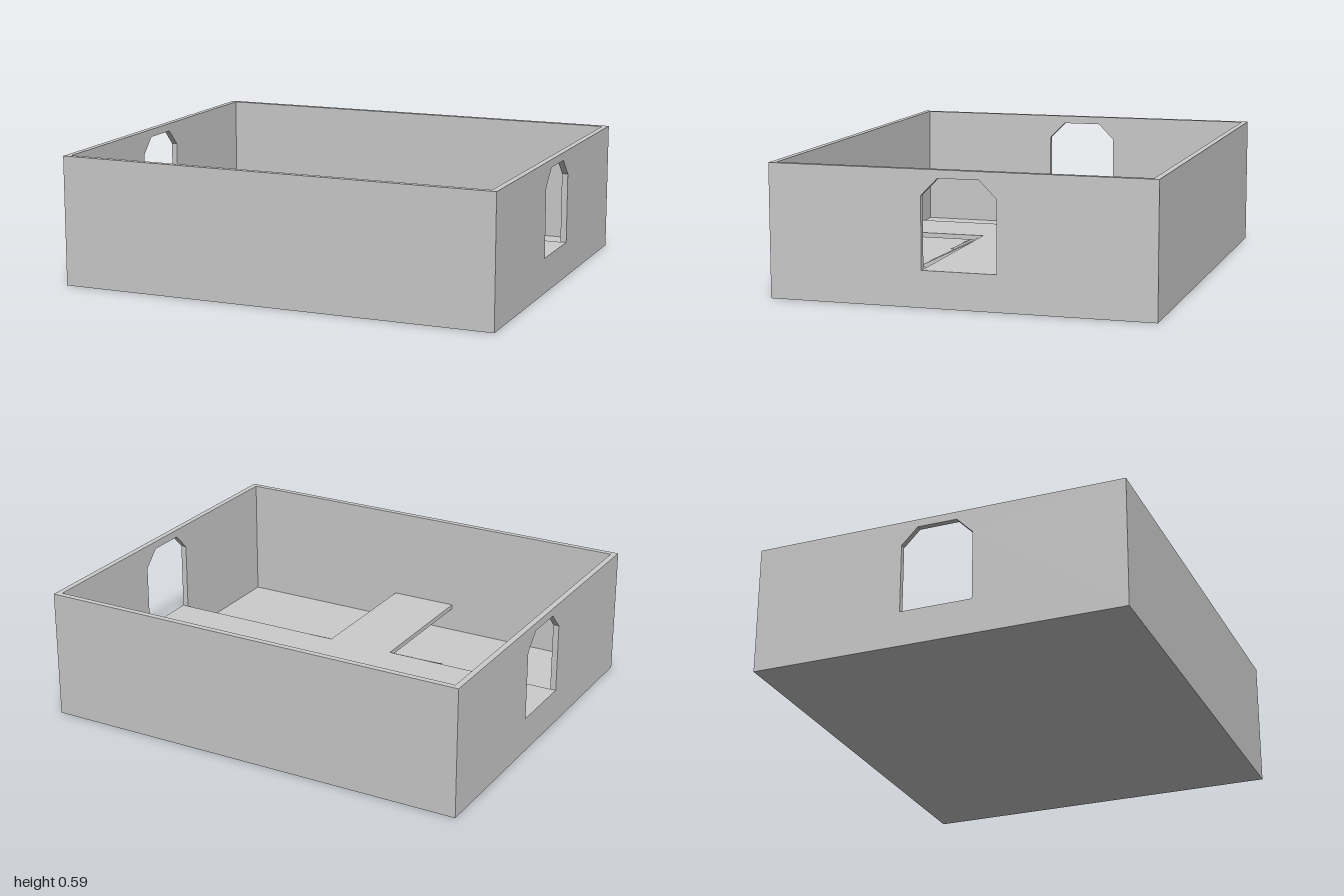
import * as THREE from 'three';

const W = 2, D = 1.69, H = 0.586;   // outer size
const T = 0.027;                    // wall and floor thickness
const DECK = 0.16, SLAB = 0.022;    // walkway height and thickness
const AX = 0.158, AZ = 0.164;       // half widths of the walkway arms
const RAMP_X = 0.3, RAMP_Z = 0.43;  // outer reach of the ramps

const material = new THREE.MeshStandardMaterial({ color: 0xcccccc, flatShading: true });

function add(group, name, geometry, x = 0, y = 0, z = 0) {
  const mesh = new THREE.Mesh(geometry, material);
  mesh.name = name;
  mesh.position.set(x, y, z);
  group.add(mesh);
  return mesh;
}

const polygon = (points) => points.map(([a, b]) => new THREE.Vector2(a, b));
const extrude = (shape, depth) => new THREE.ExtrudeGeometry(shape, { depth, bevelEnabled: false });

// End wall in the (z, y) plane with a chamfered doorway, turned to face x
function endWallGeometry() {
  const d = D / 2;
  const shape = new THREE.Shape(polygon([[-d, T], [d, T], [d, H], [-d, H]]));
  shape.holes.push(new THREE.Path(polygon([
    [-AZ, DECK], [-AZ, 0.475], [-0.09, 0.55], [0.09, 0.55], [AZ, 0.475], [AZ, DECK],
  ])));
  return extrude(shape, T).translate(0, 0, -T / 2).rotateY(Math.PI / 2);
}

// Cross-shaped raised walkway, one thin slab
function walkwayGeometry() {
  const x = W / 2 - T, z = D / 2 - T;
  const shape = new THREE.Shape(polygon([
    [-x, -AZ], [-AX, -AZ], [-AX, -z], [AX, -z], [AX, -AZ], [x, -AZ],
    [x, AZ], [AX, AZ], [AX, z], [-AX, z], [-AX, AZ], [-x, AZ],
  ]));
  return extrude(shape, SLAB).rotateX(-Math.PI / 2).translate(0, DECK - SLAB, 0);
}

// Sloping slab from the walkway edge down to the floor; dir is the z side
function rampGeometry(dir) {
  const shape = new THREE.Shape(polygon([
    [-dir * AZ, DECK], [-dir * AZ, DECK - SLAB],
    [-dir * (RAMP_Z - SLAB * 2), T], [-dir * RAMP_Z, T],
  ]));
  const width = RAMP_X - AX;
  return extrude(shape, width).translate(0, 0, -width / 2).rotateY(Math.PI / 2);
}

export function createModel() {
  const model = new THREE.Group();
  model.name = 'walledRoom';

  add(model, 'floor', new THREE.BoxGeometry(W, T, D), 0, T / 2, 0);

  // Plain long walls at front and back
  const longWall = new THREE.BoxGeometry(W - 2 * T, H - T, T);
  add(model, 'frontWall', longWall, 0, (H + T) / 2, (D - T) / 2);
  add(model, 'backWall', longWall, 0, (H + T) / 2, -(D - T) / 2);

  // End walls with doorways
  const endWall = endWallGeometry();
  add(model, 'leftDoorWall', endWall, (W - T) / 2, 0, 0);
  add(model, 'rightDoorWall', endWall, -(W - T) / 2, 0, 0);

  add(model, 'walkway', walkwayGeometry());

  // Four ramps in the inner corners of the cross
  for (const dir of [1, -1]) {
    const ramp = rampGeometry(dir);
    for (const side of [1, -1]) {
      add(model, (dir > 0 ? 'front' : 'back') + (side > 0 ? 'Left' : 'Right') + 'Ramp',
        ramp, side * (AX + RAMP_X) / 2, 0, 0);
    }
  }
  return model;
}
